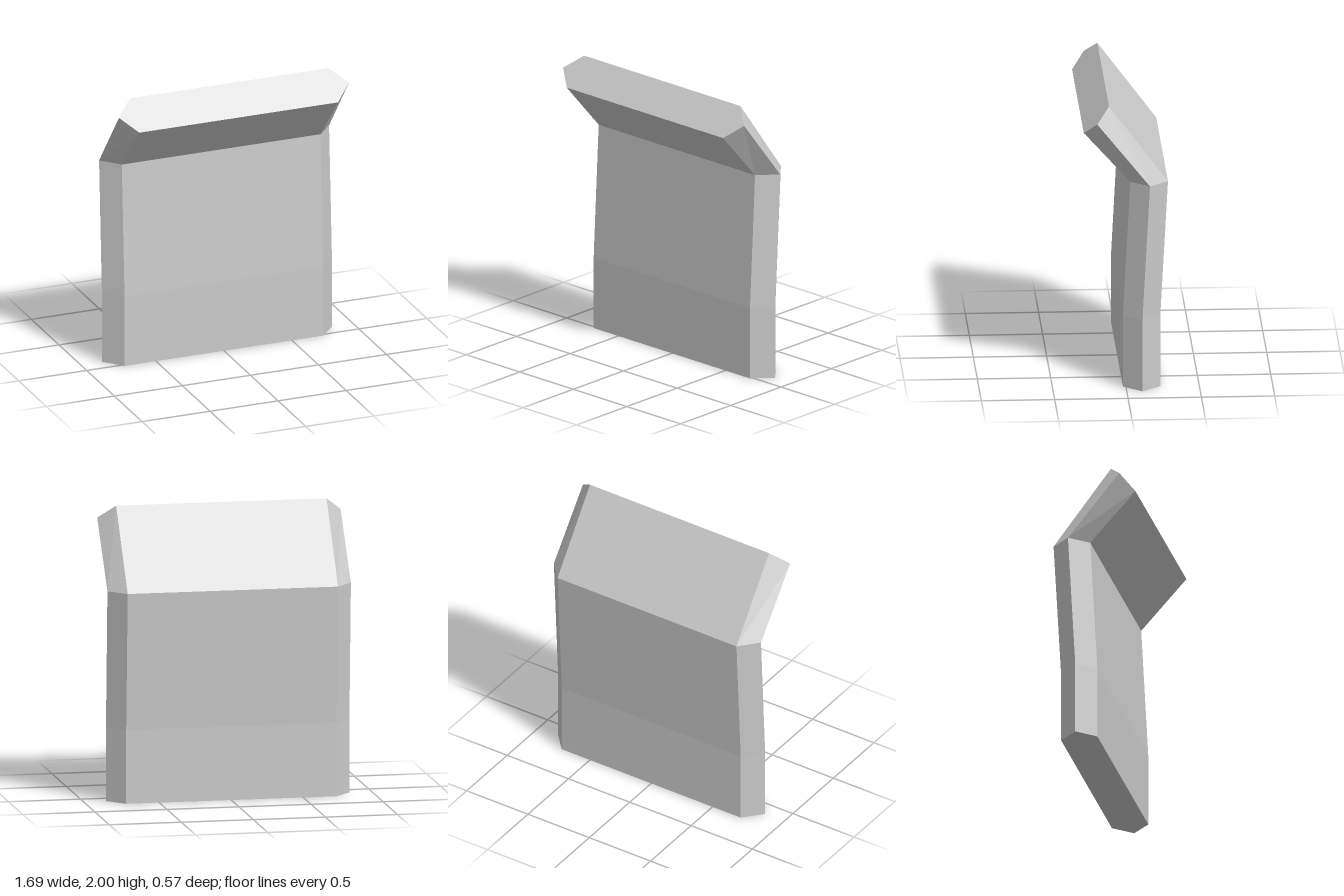
import * as THREE from 'three';

// Six-sided slab section at each level: [y, z] of its front face, side ridge and back face
const LEVELS = [
  { front: [0, 0.02], ridge: [0, -0.107], back: [0, -0.235] },
  { front: [0.51, 0.02], ridge: [0.51, -0.107], back: [0.51, -0.235] },
  { front: [1.46, -0.03], ridge: [1.46, -0.158], back: [1.46, -0.287] },
  { front: [1.813, 0.287], ridge: [1.907, 0.201], back: [2, 0.115] },
];
const FACE_X = 0.73;
const RIDGE_X = 0.845;

// Corners run counter-clockwise seen from above
function ring({ front, ridge, back }) {
  return [
    [-FACE_X, ...front], [FACE_X, ...front], [RIDGE_X, ...ridge],
    [FACE_X, ...back], [-FACE_X, ...back], [-RIDGE_X, ...ridge],
  ];
}

// Joins the sections with flat quads and caps both ends
function loft(rings) {
  const positions = [];
  const tri = (a, b, c) => positions.push(...a, ...b, ...c);
  const n = rings[0].length;
  for (let j = 0; j < rings.length - 1; j++) {
    for (let i = 0; i < n; i++) {
      const k = (i + 1) % n;
      const a = rings[j][i], b = rings[j][k], c = rings[j + 1][k], d = rings[j + 1][i];
      tri(a, b, c);
      tri(a, c, d);
    }
  }
  const bottom = rings[0], top = rings[rings.length - 1];
  for (let i = 1; i < n - 1; i++) {
    tri(bottom[0], bottom[i + 1], bottom[i]);
    tri(top[0], top[i], top[i + 1]);
  }
  const geometry = new THREE.BufferGeometry();
  geometry.setAttribute('position', new THREE.Float32BufferAttribute(positions, 3));
  geometry.computeVertexNormals();
  return geometry;
}

export function createModel() {
  const group = new THREE.Group();
  group.name = 'bentPanel';
  const material = new THREE.MeshStandardMaterial({ color: 0xcccccc, flatShading: true });

  // Upright slab with chamfered sides, its top bent forward
  const slab = new THREE.Mesh(loft(LEVELS.map(ring)), material);
  slab.name = 'bentSlab';
  group.add(slab);
  return group;
}
